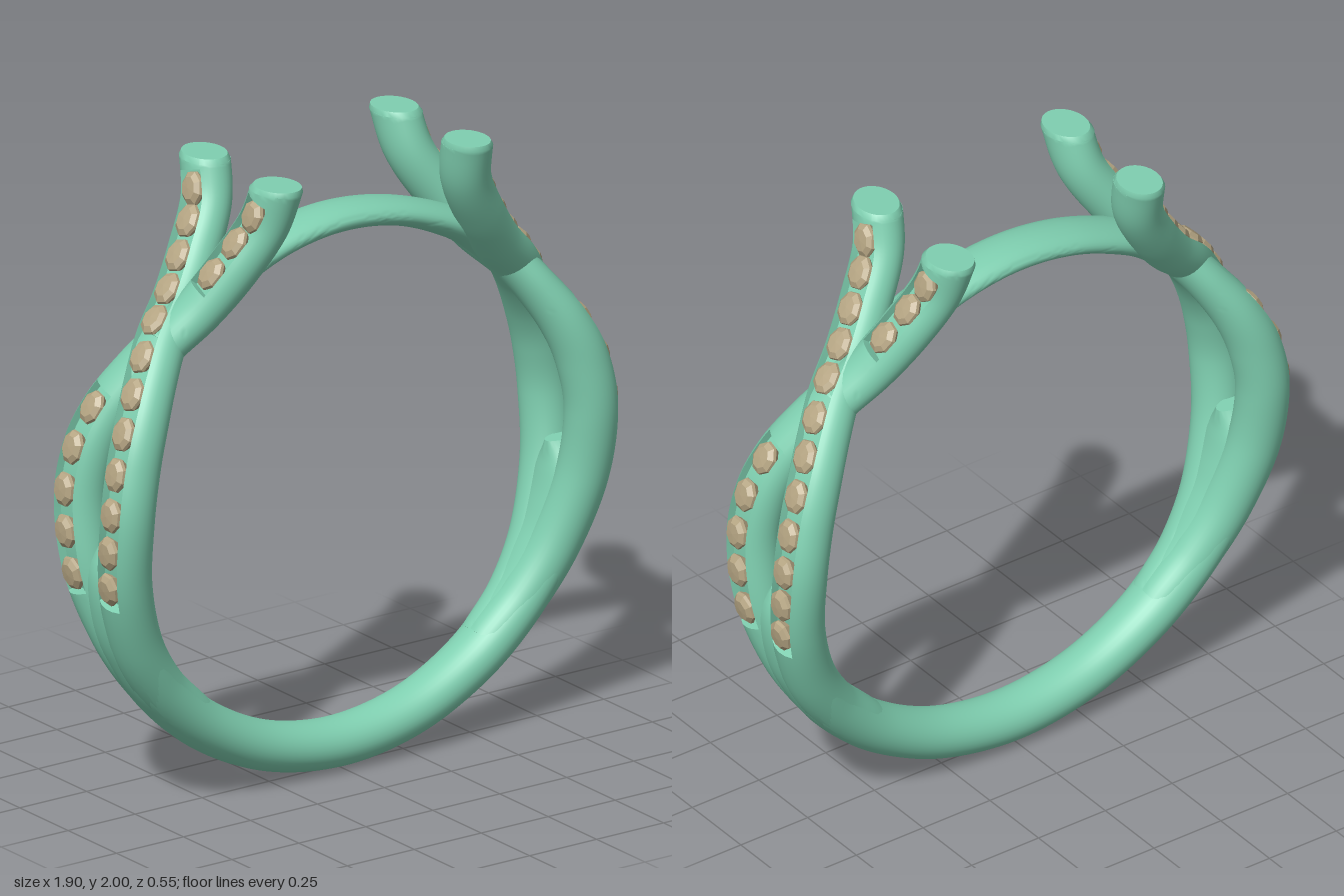
import * as THREE from 'three';
import { toCreasedNormals } from 'three/addons/utils/BufferGeometryUtils.js';

const CY = 0.945;        // height of the ring centre
const INNER = 0.785;     // finger hole radius
const TOP = 2;           // height of the cut post ends
const RIM = 0.62;        // half angle of the stone channel on a strand section

const metal = new THREE.MeshStandardMaterial({ color: 0x7fcfb0 });
const stone = new THREE.MeshStandardMaterial({ color: 0xb5a583, flatShading: true });

// Station on the ring: angle in degrees, z offset, half width a, half thickness b
function onRing(deg, z, a, b) {
  const t = THREE.MathUtils.degToRad(deg), r = INNER + b;
  return [r * Math.cos(t), CY + r * Math.sin(t), z, a, b];
}

// Smooth path through stations [x, y, z, a, b], with a local frame at any u
function makePath(stations) {
  const curve = new THREE.CatmullRomCurve3(
    stations.map(s => new THREE.Vector3(s[0], s[1], s[2])), false, 'catmullrom', 0.5);
  const sizes = new THREE.CatmullRomCurve3(
    stations.map(s => new THREE.Vector3(s[3], s[4], 0)), false, 'catmullrom', 0.5);
  curve.arcLengthDivisions = 600;
  const at = u => {
    const p = curve.getPointAt(u), T = curve.getTangentAt(u);
    const N = new THREE.Vector3(T.y, -T.x, 0).normalize();
    const B = new THREE.Vector3().crossVectors(T, N);
    const s = sizes.getPoint(curve.getUtoTmapping(u));
    return { p, T, N, B, a: s.x, b: s.y };
  };
  const uAtHeight = y => {
    let lo = 0, hi = 1;
    for (let i = 0; i < 30; i++) {
      const m = (lo + hi) / 2;
      if (curve.getPointAt(m).y < y) lo = m; else hi = m;
    }
    return lo;
  };
  return { at, uAtHeight };
}

// Sweep an oval section along a path; channels are u ranges with a sunk floor
function sweep(path, rings, channels = [], cutTop = false) {
  const us = [];
  for (let i = 0; i <= rings; i++) us.push(i / rings);
  for (const [s, e] of channels) us.push(s - 2e-4, s + 2e-4, e - 2e-4, e + 2e-4);
  us.sort((m, n) => m - n);
  if (cutTop) us.push(1);

  const angles = [];
  for (let i = 0; i <= 28; i++) angles.push(RIM + (i / 28) * 2 * (Math.PI - RIM));
  for (let i = 0; i <= 4; i++) angles.push(2 * Math.PI + RIM * 0.95 * (i / 2 - 1));
  const M = angles.length, pos = [], idx = [];

  us.forEach((u, i) => {
    const { p, T, N, B, a, b } = path.at(u);
    const sunk = channels.some(([s, e]) => u > s && u < e);
    const last = i === us.length - 1, beforeLast = i === us.length - 2;
    const k = cutTop && last ? 0.9 : 1;
    angles.forEach((f, j) => {
      const v = sunk && j > 28 ? b * Math.cos(RIM) - 0.025 : b * Math.cos(f);
      const q = p.clone().addScaledVector(N, v * k).addScaledVector(B, a * Math.sin(f) * k);
      if (cutTop) {
        const limit = last ? TOP : TOP - 0.015;
        if (last || beforeLast || q.y > limit) q.addScaledVector(T, (limit - q.y) / T.y);
      }
      pos.push(q.x, q.y, q.z);
    });
  });
  const R = us.length;
  for (let i = 0; i < R - 1; i++) {
    for (let j = 0; j < M; j++) {
      const n = (j + 1) % M, A = i * M, C = A + M;
      idx.push(A + j, A + n, C + j, A + n, C + n, C + j);
    }
  }
  // End caps
  for (const end of [0, R - 1]) {
    const c = new THREE.Vector3();
    for (let j = 0; j < M; j++) c.add(new THREE.Vector3().fromArray(pos, (end * M + j) * 3));
    c.divideScalar(M);
    const ci = pos.length / 3;
    pos.push(c.x, end && cutTop ? TOP : c.y, c.z);
    for (let j = 0; j < M; j++) {
      const m = end * M + j, n = end * M + (j + 1) % M;
      if (end) idx.push(ci, m, n); else idx.push(ci, n, m);
    }
  }
  const g = new THREE.BufferGeometry();
  g.setAttribute('position', new THREE.Float32BufferAttribute(pos, 3));
  g.setIndex(idx);
  return toCreasedNormals(g, 0.7);
}

function mesh(name, geometry, material) {
  const m = new THREE.Mesh(geometry, material);
  m.name = name;
  return m;
}

// Faceted cushion stone, y is its outward axis
const gemGeometry = new THREE.LatheGeometry(
  [[0, -0.03], [0.035, -0.025], [0.052, 0], [0.05, 0.01], [0.034, 0.022], [0, 0.024]]
    .map(p => new THREE.Vector2(...p)), 8, Math.PI / 8);

// One strand; s is the z side it starts on, over tells which one passes on top
function strand(name, s, over, channelHeights, gemRows) {
  const group = new THREE.Group();
  group.name = name;
  const dip = over ? 0 : 0.012;
  const path = makePath([
    onRing(-50, s * 0.008, 0.08, 0.075),
    onRing(-38, s * 0.022, 0.083, 0.077),
    onRing(-25, s * 0.05, 0.084, 0.079),
    onRing(-10, s * 0.092, 0.084, 0.081),
    onRing(4, s * 0.12, 0.084, 0.082),
    onRing(15, s * 0.113, 0.084, 0.082),
    onRing(24, s * 0.09, 0.084, 0.08 - dip / 2),
    onRing(33, s * 0.046, 0.084, 0.077 - dip),
    onRing(41, s * -0.002, 0.084, 0.076 - dip),
    onRing(50, s * -0.05, 0.084, 0.076 - dip / 2),
    [0.46, 1.725, s * -0.1, 0.086, 0.075],
    [0.378, 1.865, s * -0.147, 0.087, 0.073],
    [0.352, 2.015, s * -0.194, 0.088, 0.072],
  ]);
  const channels = channelHeights.map(r => r.map(path.uAtHeight));
  group.add(mesh('strandBody', sweep(path, 130, channels, true), metal));

  // Rows of stones, evenly spaced along the channel
  for (const [y0, y1, count] of gemRows) {
    const u0 = path.uAtHeight(y0), u1 = path.uAtHeight(y1);
    for (let i = 0; i < count; i++) {
      const { p, T, N, B, b } = path.at(u0 + (u1 - u0) * i / (count - 1));
      const gem = mesh('stone', gemGeometry, stone);
      gem.quaternion.setFromRotationMatrix(new THREE.Matrix4().makeBasis(T, N, B));
      gem.position.copy(p).addScaledVector(N, b - 0.022);
      gem.scale.set(1.06, 1, 0.9);
      group.add(gem);
    }
  }
  return group;
}

export function createModel() {
  const model = new THREE.Group();
  model.name = 'ring';

  // Lower band, fading out between the strands on both sides
  const half = [[-4, 0.03, 0.05], [-10, 0.095, 0.068], [-18, 0.125, 0.076], [-27, 0.126, 0.079],
    [-40, 0.106, 0.079], [-55, 0.094, 0.078], [-72, 0.09, 0.0775]];
  const lower = [
    ...half.map(([d, a, b]) => onRing(-180 - d, 0, a, b)),
    onRing(-90, 0, 0.09, 0.0775),
    ...half.slice().reverse().map(([d, a, b]) => onRing(d, 0, a, b)),
  ];
  model.add(mesh('lowerBand', sweep(makePath(lower), 110), metal));

  // Thin arch closing the finger hole under the posts
  const arch = [[40, 0.08, 0.066], [50, 0.088, 0.057], [60, 0.091, 0.049], [75, 0.09, 0.043],
    [90, 0.088, 0.0425], [105, 0.09, 0.043], [120, 0.091, 0.049], [130, 0.088, 0.057], [140, 0.08, 0.066]];
  model.add(mesh('upperArch', sweep(makePath(arch.map(([d, a, b]) => onRing(d, 0, a, b))), 70), metal));

  // Crossing strands, repeated by a half turn
  for (const [name, turn] of [['leftShoulder', 0], ['rightShoulder', Math.PI]]) {
    const shoulder = new THREE.Group();
    shoulder.name = name;
    shoulder.add(strand('overStrand', -1, true, [[0.745, 1.95]], [[0.8, 1.89, 12]]));
    shoulder.add(strand('underStrand', 1, false, [[0.745, 1.335], [1.64, 1.95]],
      [[0.8, 1.28, 5], [1.69, 1.89, 3]]));
    shoulder.rotation.y = turn;
    model.add(shoulder);
  }
  return model;
}
